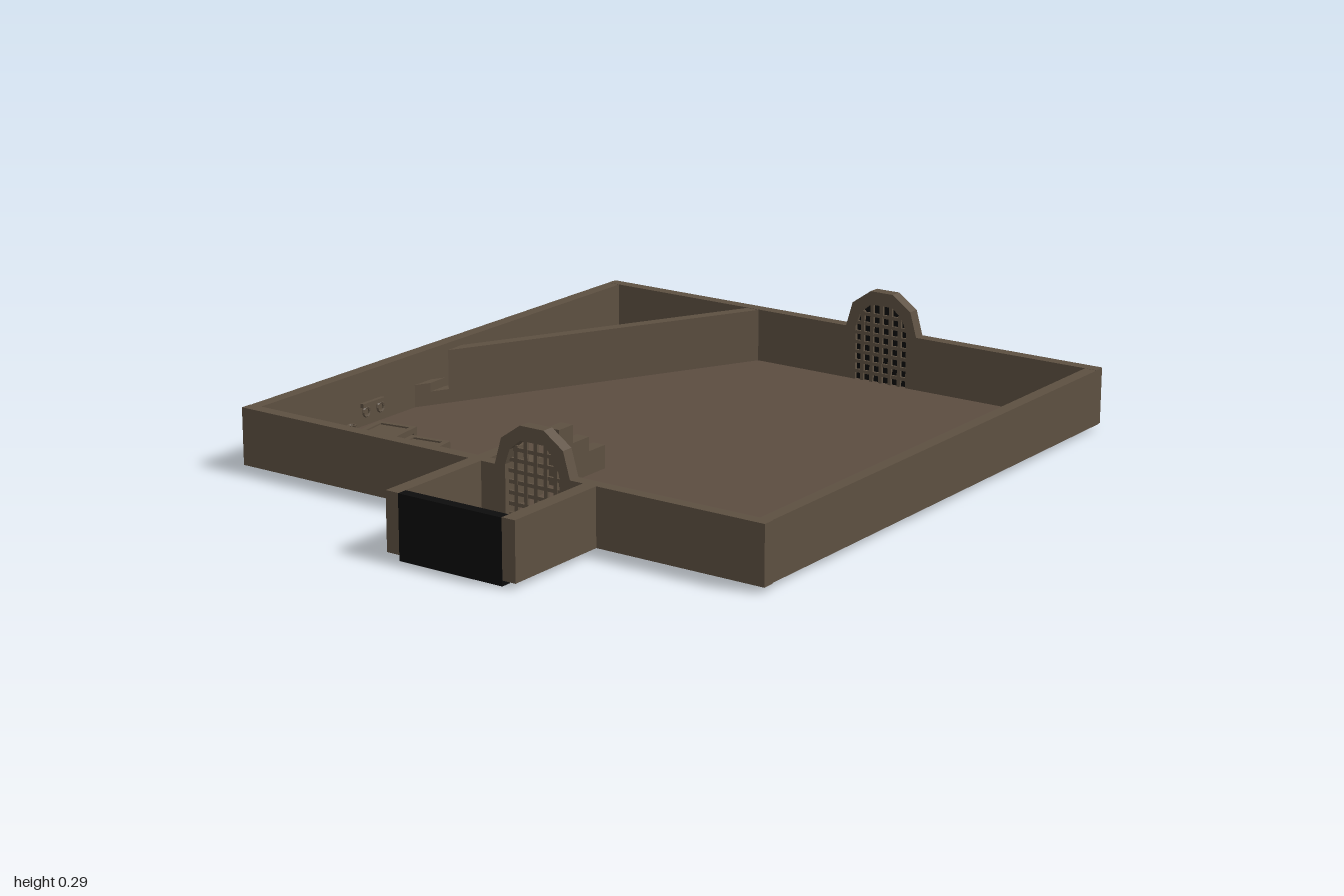
import * as THREE from 'three';

const mat = (name, color, extra = {}) => Object.assign(new THREE.MeshStandardMaterial({ color, flatShading: true, ...extra }), { name });

export function createModel() {
  const root = new THREE.Group();
  root.name = 'ruinedRoom';
  const wallMat = mat('wall stone', 0x5d5041);
  const floorMat = mat('floor stone', 0x5b4c40);
  const black = mat('black', 0x0c0c0c);

  const add = (name, geo, material, x = 0, y = 0, z = 0, parent = root) => {
    const m = new THREE.Mesh(geo, material);
    m.name = name;
    m.position.set(x, y, z);
    parent.add(m);
    return m;
  };
  const shapeOf = pts => new THREE.Shape(pts.map(p => new THREE.Vector2(...p)));
  // upright prism over a floor plan given as [x, z] points
  const prism = (name, pts, y0, y1, material = wallMat) => {
    const g = new THREE.ExtrudeGeometry(shapeOf(pts), { depth: y1 - y0, bevelEnabled: false });
    g.rotateX(Math.PI / 2);
    return add(name, g, material, 0, y1, 0);
  };
  const block = (name, x0, x1, y0, y1, z0, z1, material = wallMat) =>
    add(name, new THREE.BoxGeometry(x1 - x0, y1 - y0, z1 - z0), material, (x0 + x1) / 2, (y0 + y1) / 2, (z0 + z1) / 2);
  // outline in x, y pushed along z
  const slab = (name, pts, z0, z1, material = wallMat) =>
    add(name, new THREE.ExtrudeGeometry(shapeOf(pts), { depth: z1 - z0, bevelEnabled: false }), material, 0, 0, z0);

  const BASE = 0.015, FLOOR = 0.02, TOP = 0.175, CX = 0.137;

  // floor with the back corner cut away and the porch tongue in front
  prism('floor', [[-0.82, 0.66], [-0.05, 0.66], [-0.05, 0.985], [0.32, 0.985], [0.32, 0.66], [0.82, 0.66],
    [0.82, -0.985], [-0.315, -0.985], [-0.8, -0.06], [-0.82, -0.06]], BASE - 0.001, FLOOR, floorMat);

  // side walls
  prism('rightWall', [[-0.835, -0.99], [-0.795, -0.99], [-0.797, 0.66], [-0.832, 0.66]], BASE, TOP - 0.0005);
  prism('leftWall', [[0.835, -0.99], [0.83, 0.66], [0.795, 0.66], [0.798, -0.99]], BASE, TOP - 0.0005);

  // end walls, each with an arched doorway
  const opening = [[-0.085, 0.18], [-0.07, 0.222], [-0.036, 0.25], [0.036, 0.25], [0.07, 0.222], [0.085, 0.18]];
  const outer = [[0.118, TOP], [0.097, 0.247], [0.037, 0.289], [-0.037, 0.289], [-0.097, 0.247], [-0.118, TOP]];
  const shift = pts => pts.map(([x, y]) => [x + CX, y]);
  const doorWall = [[-0.833, BASE], [CX - 0.085, BASE], ...shift(opening), [CX + 0.085, BASE],
    [0.833, BASE], [0.833, TOP], ...shift(outer), [-0.833, TOP]];
  slab('frontWall', doorWall, 0.64, 0.675);
  slab('backWall', doorWall, -1, -0.965);

  // lattice gate filling an arched opening
  const archHeight = dx => {
    const a = Math.abs(dx);
    return a < 0.036 ? 0.25 : a < 0.07 ? 0.25 - (a - 0.036) * 0.82 : 0.222 - (a - 0.07) * 2.8;
  };
  const archHalf = y => y < 0.18 ? 0.085 : y < 0.222 ? 0.085 - (y - 0.18) * 0.357 : 0.07 - (y - 0.222) * 1.21;
  const gate = (name, z) => {
    const g = new THREE.Group();
    g.name = name;
    root.add(g);
    for (let i = -2; i <= 2; i++) {
      const h = archHeight(i * 0.031) - FLOOR;
      add('uprightBar', new THREE.BoxGeometry(0.011, h, 0.008), wallMat, CX + i * 0.031, FLOOR + h / 2, z, g);
    }
    for (let y = 0.045; y < 0.24; y += 0.029)
      add('crossBar', new THREE.BoxGeometry(2 * archHalf(y), 0.01, 0.007), wallMat, CX, y, z, g);
  };
  gate('frontGate', 0.657);
  gate('backGate', -0.969);

  // dark fill behind the back doorway and across the porch mouth
  slab('backDarkness', [[CX - 0.085, 0], ...shift(opening), [CX + 0.085, 0]], -0.999, -0.975, black);
  block('porchDarkness', -0.025, 0.295, 0, TOP - 0.0005, 0.97, 1, black);
  block('porchRightWall', -0.065, -0.025, BASE, TOP, 0.67, 0.999);
  block('porchLeftWall', 0.295, 0.335, BASE, TOP, 0.67, 0.999);

  // diagonal wall with a broken low end
  const lerp = (a, b, t) => [a[0] + (b[0] - a[0]) * t, a[1] + (b[1] - a[1]) * t];
  const far = t => lerp([-0.8, -0.06], [-0.32, -0.975], t);
  const near = t => lerp([-0.8, 0.012], [-0.28, -0.975], t);
  [[0, 0.05, 0.085], [0.05, 0.1, 0.06], [0.1, 1, TOP - 0.001]].forEach(([a, b, h]) =>
    prism('diagonalWall', [far(a), near(a), near(b), far(b)], BASE, h));

  // crumbling inner wall, stepped on both sides of the gap
  [[0.15, 0.22, 0.085], [0.22, 0.29, 0.125], [0.29, 0.35, TOP], [0.42, 0.49, 0.12], [0.49, 0.645, TOP - 0.001]]
    .forEach(([a, b, h]) => block('innerWall', -0.065, -0.025, FLOOR, h, a, b));

  // crates with raised edge frames
  const crate = (x, z, s, h, turn) => {
    const g = new THREE.Group();
    g.name = 'crate';
    g.position.set(x, FLOOR + h / 2, z);
    g.rotation.y = turn;
    root.add(g);
    const b = s * 0.13;
    add('crateBody', new THREE.BoxGeometry(s * 0.92, h * 0.92, s * 0.92), wallMat, 0, 0, 0, g);
    for (const u of [-1, 1]) for (const v of [-1, 1]) {
      const e = (s - b) / 2, f = (h - b) / 2;
      add('crateEdge', new THREE.BoxGeometry(s, b, b), wallMat, 0, u * f, v * e, g);
      add('crateEdge', new THREE.BoxGeometry(b, b, s), wallMat, v * e, u * f, 0, g);
      add('crateEdge', new THREE.BoxGeometry(b, h, b), wallMat, u * e, 0, v * e, g);
    }
  };
  crate(-0.49, 0.493, 0.118, 0.11, 0.14);
  crate(-0.336, 0.543, 0.118, 0.11, 0.14);
  crate(-0.712, 0.552, 0.085, 0.03, 0.65);
  crate(-0.71, 0.463, 0.045, 0.03, 0.75);
  crate(-0.24, 0.475, 0.046, 0.045, 0.03);

  // barrels and jars
  const turned = (name, x, z, r, h, profile, material = wallMat) =>
    add(name, new THREE.LatheGeometry(profile.map(([a, b]) => new THREE.Vector2(a * r, b * h)), 9), material, x, FLOOR, z);
  const barrel = [[0, 0], [0.78, 0], [1, 0.35], [1, 0.65], [0.78, 1], [0.65, 1], [0.65, 0.94], [0, 0.94]];
  const jar = [[0, 0], [0.5, 0], [1, 0.4], [0.9, 0.6], [0.4, 0.8], [0.6, 1], [0.4, 1], [0.25, 0.85], [0, 0.85]];
  turned('barrel', -0.172, 0.55, 0.034, 0.085, barrel);
  turned('barrel', -0.612, 0.48, 0.034, 0.05, barrel);
  turned('jar', -0.72, 0.365, 0.022, 0.05, jar);
  turned('jar', -0.34, 0.442, 0.022, 0.065, jar);
  turned('darkJar', -0.19, 0.395, 0.022, 0.06, jar, black);

  // dropped club on the floor
  turned('clubHead', -0.1, 0.315, 0.014, 0.02, barrel);
  const handle = add('clubHandle', new THREE.BoxGeometry(0.008, 0.008, 0.045), wallMat, -0.116, FLOOR + 0.005, 0.332);
  handle.rotation.y = -0.75;

  // wall shackles on both side walls
  for (const s of [-1, 1]) {
    block('shacklePlate', s * 0.79 - 0.006, s * 0.79 + 0.006, 0.075, 0.087, 0.15, 0.24);
    for (const z of [0.165, 0.225]) {
      const ring = add('shackleRing', new THREE.TorusGeometry(0.013, 0.004, 5, 10), wallMat, s * 0.787, 0.062, z);
      ring.rotation.y = Math.PI / 2;
    }
  }
  return root;
}
